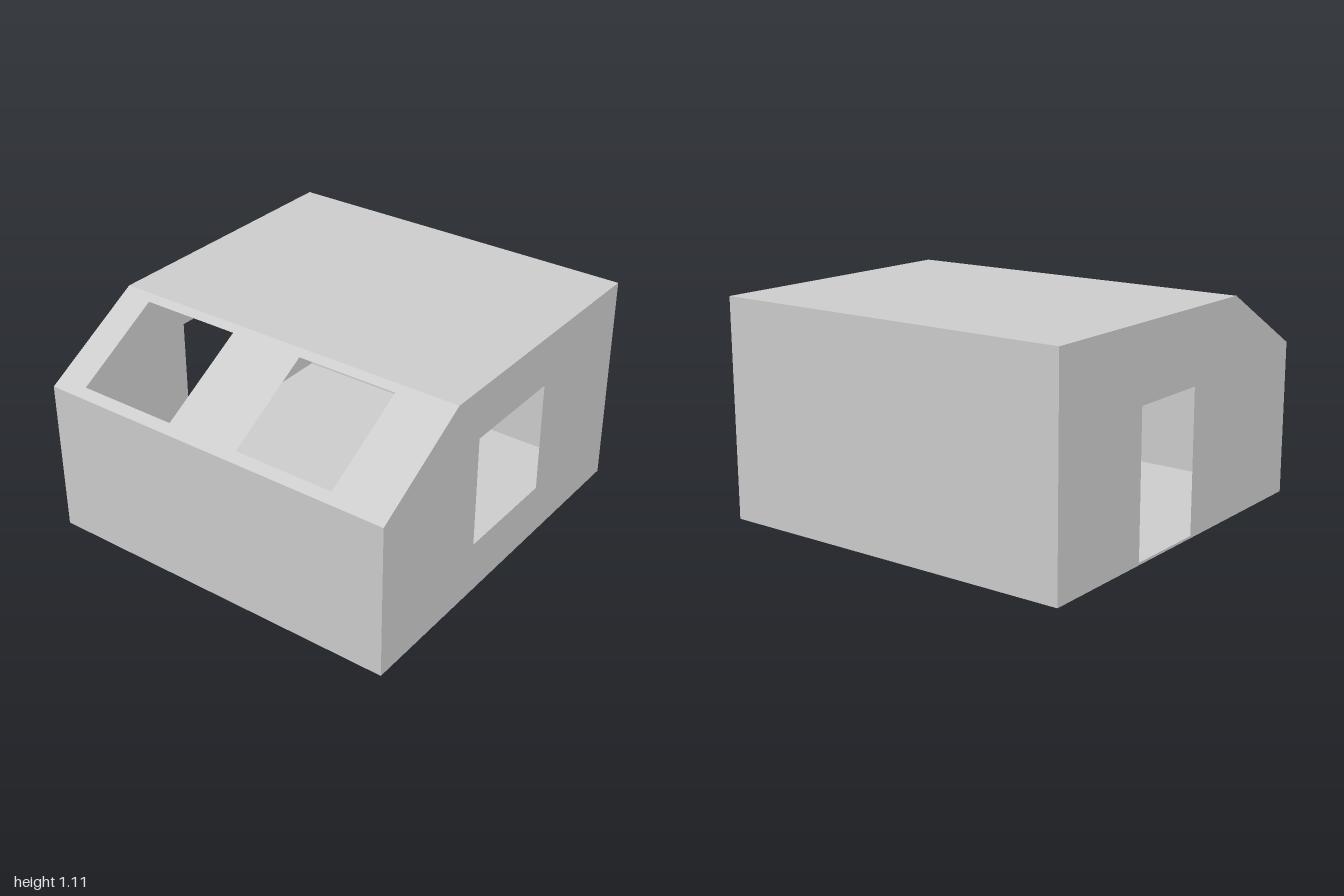
import * as THREE from 'three';

const W = 0.957, D = 1, H = 1.11;      // half width, half depth, roof height
const EAVE = 0.795, RIDGE_Z = 0.45;    // low front edge and top of the slope

const material = new THREE.MeshStandardMaterial({ color: 0xcccccc, side: THREE.DoubleSide });

const rect = (x0, y0, x1, y1) => [[x0, y0], [x1, y0], [x1, y1], [x0, y1]];
const toPoints = (list) => list.map(([x, y]) => new THREE.Vector2(x, y));

// Thin flat panel with openings
function panel(name, outline, holes = []) {
  const shape = new THREE.Shape(toPoints(outline));
  for (const hole of holes) shape.holes.push(new THREE.Path(toPoints(hole)));
  const mesh = new THREE.Mesh(new THREE.ShapeGeometry(shape), material);
  mesh.name = name;
  return mesh;
}

export function createModel() {
  const house = new THREE.Group();
  house.name = 'house';

  // Floor slab
  const floor = new THREE.Mesh(new THREE.BoxGeometry(2 * W, 0.01, 2 * D), material);
  floor.name = 'floor';
  floor.position.y = 0.005;
  house.add(floor);

  // Side walls: local x runs along z
  const profile = [[-D, 0], [D, 0], [D, EAVE], [RIDGE_Z, H], [-D, H]];
  const sides = [
    ['windowWall', W, rect(-0.31, 0.27, 0.265, 0.85)],
    ['doorWall', -W, rect(-0.37, 0.012, 0.083, 0.738)],
  ];
  for (const [name, x, opening] of sides) {
    const wall = panel(name, profile, [opening]);
    wall.rotation.y = -Math.PI / 2;
    wall.position.x = x;
    house.add(wall);
  }

  // Front and back walls
  const front = panel('frontWall', rect(-W, 0, W, EAVE));
  front.position.z = D;
  const back = panel('backWall', rect(-W, 0, W, H));
  back.rotation.y = Math.PI;
  back.position.z = -D;

  // Flat roof: local y runs towards the back
  const roof = panel('flatRoof', rect(-W, -RIDGE_Z, W, D));
  roof.rotation.x = -Math.PI / 2;
  roof.position.y = H;

  // Sloped roof with two skylights, local y runs up the slope
  const run = D - RIDGE_Z, rise = H - EAVE, length = Math.hypot(run, rise);
  const up = (z) => ((D - z) / run) * length;
  const skylights = [[-0.79, -0.26], [0.13, 0.655]].map(
    ([x0, x1]) => rect(x0, up(0.95), x1, up(0.49)));
  const slope = panel('slopedRoof', rect(-W, 0, W, length), skylights);
  slope.rotation.x = -Math.atan2(run, rise);
  slope.position.set(0, EAVE, D);

  house.add(front, back, roof, slope);
  return house;
}
